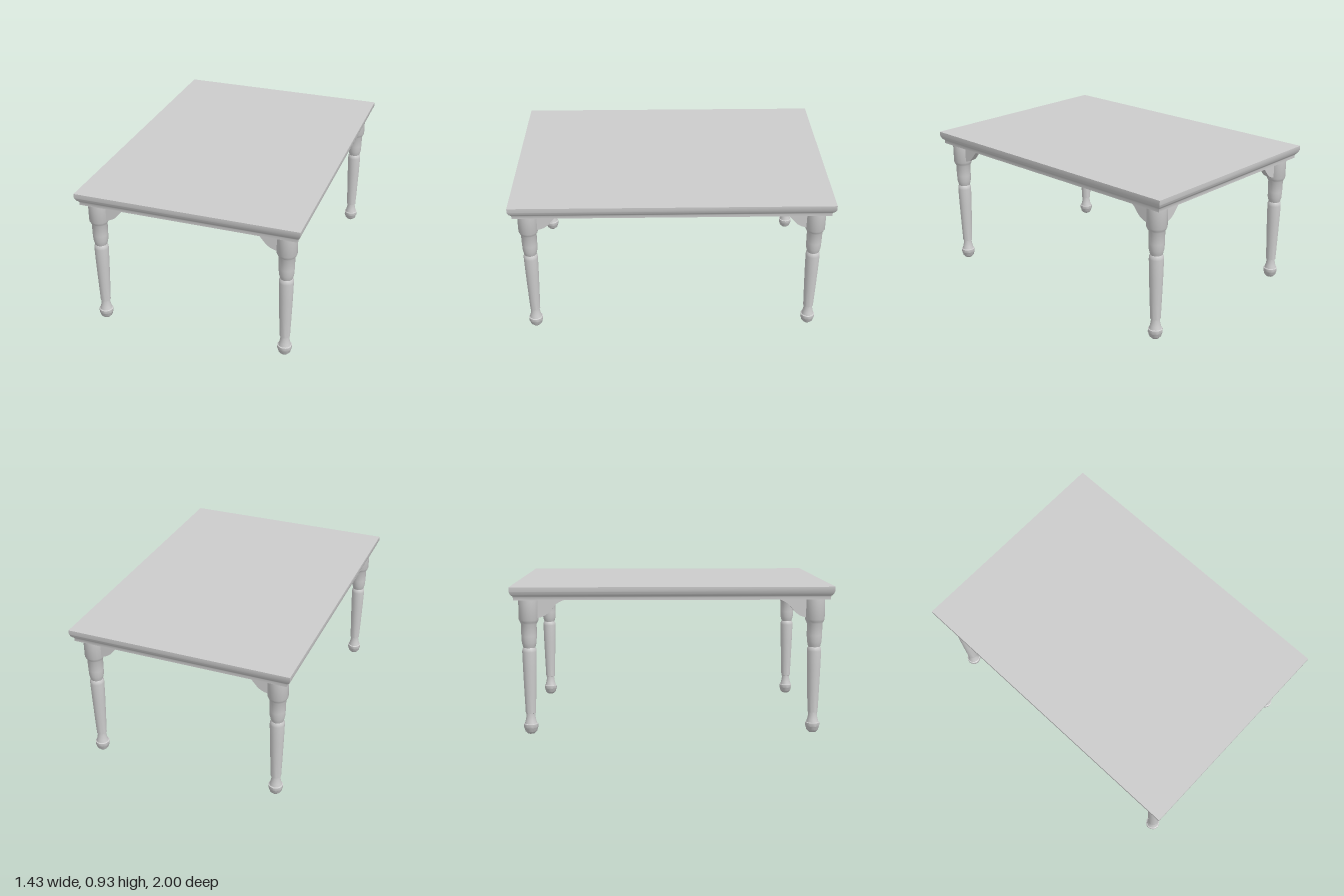
import * as THREE from 'three';
import { toCreasedNormals } from 'three/addons/utils/BufferGeometryUtils.js';

const material = new THREE.MeshStandardMaterial({ color: 0xcccccc });

// Moulded slab: rectangular rings stacked along an edge profile of [inset, y], bottom to top.
function mouldedSlab(halfX, halfZ, profile) {
  const positions = [];
  const index = [];
  for (const [inset, y] of profile) {
    const x = halfX - inset, z = halfZ - inset;
    positions.push(-x, y, z, x, y, z, x, y, -z, -x, y, -z);
  }
  for (let r = 0; r < profile.length - 1; r++) {
    for (let i = 0; i < 4; i++) {
      const a = r * 4 + i, b = r * 4 + (i + 1) % 4;
      index.push(a, b, b + 4, a, b + 4, a + 4);
    }
  }
  const t = (profile.length - 1) * 4;
  index.push(0, 2, 1, 0, 3, 2, t, t + 1, t + 2, t, t + 2, t + 3);
  const geometry = new THREE.BufferGeometry();
  geometry.setAttribute('position', new THREE.Float32BufferAttribute(positions, 3));
  geometry.setIndex(index);
  return toCreasedNormals(geometry, 0.6);
}

// Turned leg profile: [radius, y] from the foot to the top block.
const legProfile = [
  [0, 0], [0.022, 0], [0.037, 0.015], [0.043, 0.037], [0.045, 0.04], [0.045, 0.062],
  [0.039, 0.065], [0.033, 0.085], [0.028, 0.11], [0.027, 0.128], [0.032, 0.13],
  [0.037, 0.26], [0.042, 0.4], [0.045, 0.52], [0.044, 0.535], [0.037, 0.547],
  [0.041, 0.56], [0.046, 0.58], [0.048, 0.62], [0.049, 0.695], [0.055, 0.707],
  [0.062, 0.722], [0.062, 0.855],
].map(([r, y]) => new THREE.Vector2(r, y));

// Curved bracket running outwards from the leg axis along +x.
function bracketGeometry(thickness) {
  const shape = new THREE.Shape();
  shape.moveTo(0, 0.855);
  shape.lineTo(0, 0.73);
  shape.lineTo(0.055, 0.732);
  shape.bezierCurveTo(0.11, 0.742, 0.125, 0.765, 0.15, 0.795);
  shape.bezierCurveTo(0.175, 0.828, 0.21, 0.845, 0.255, 0.85);
  shape.lineTo(0.255, 0.855);
  shape.closePath();
  const geometry = new THREE.ExtrudeGeometry(shape, {
    depth: thickness, bevelEnabled: false, curveSegments: 8,
  });
  geometry.translate(0, 0, -thickness / 2);
  return toCreasedNormals(geometry, 0.6);
}

export function createModel() {
  const table = new THREE.Group();
  table.name = 'table';

  const add = (parent, name, geometry) => {
    const mesh = new THREE.Mesh(geometry, material);
    mesh.name = name;
    parent.add(mesh);
    return mesh;
  };

  // Tabletop with a coved edge
  add(table, 'tabletop', mouldedSlab(0.705, 0.993, [
    [0.022, 0.85], [0.022, 0.868], [0.019, 0.874], [0.012, 0.88],
    [0.006, 0.889], [0.003, 0.898], [0, 0.904], [0, 0.931],
  ]));

  // Four legs, each with two brackets pointing towards its neighbours
  const legGeometry = toCreasedNormals(new THREE.LatheGeometry(legProfile, 16), 0.6);
  const bracket = bracketGeometry(0.04);
  for (const sx of [1, -1]) {
    for (const sz of [1, -1]) {
      const corner = new THREE.Group();
      corner.name = (sz > 0 ? 'front' : 'back') + (sx > 0 ? 'Left' : 'Right') + 'Leg';
      corner.position.set(sx * 0.602, 0, sz * 0.888);
      add(corner, 'turnedLeg', legGeometry);
      add(corner, 'sideBracket', bracket).rotation.y = sx > 0 ? Math.PI : 0;
      add(corner, 'endBracket', bracket).rotation.y = sz > 0 ? Math.PI / 2 : -Math.PI / 2;
      table.add(corner);
    }
  }

  // The table stands very slightly turned
  table.rotation.y = -0.009;
  const model = new THREE.Group();
  model.name = 'diningTable';
  model.add(table);
  return model;
}
